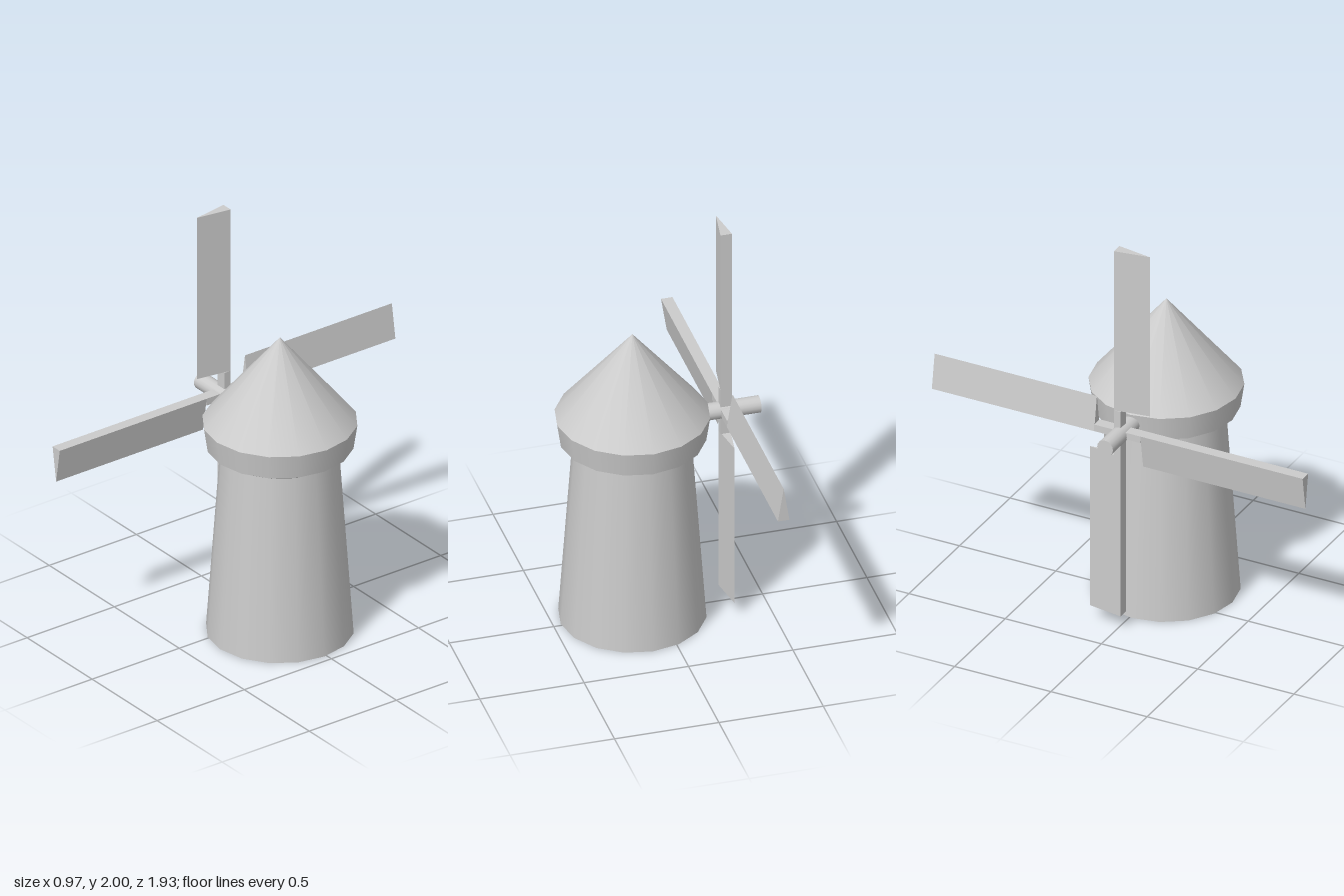
import * as THREE from 'three';

export function createModel() {
  const model = new THREE.Group();
  const material = new THREE.MeshStandardMaterial({ color: 0xcccccc });
  const SIDES = 16;
  const towerX = 0.12, towerZ = 0.012;

  const add = (parent, name, geometry, x = 0, y = 0, z = 0) => {
    const mesh = new THREE.Mesh(geometry, material);
    mesh.name = name;
    mesh.position.set(x, y, z);
    parent.add(mesh);
    return mesh;
  };

  // Round sections stacked on the tower axis, smooth around with sharp rims
  const section = (name, rBottom, rTop, y0, y1, open) =>
    add(model, name, new THREE.CylinderGeometry(rTop, rBottom, y1 - y0, SIDES, 1, open),
      towerX, (y0 + y1) / 2, towerZ);

  section('tower', 0.343, 0.277, 0, 0.93, false);
  section('capUnderside', 0.28, 0.342, 0.93, 0.965, true);
  section('capBand', 0.342, 0.36, 0.965, 1.085, true);
  section('roof', 0.36, 0, 1.085, 1.52, true);

  // Shaft reaching out of the cap
  const shaftLength = 0.6;
  const shaft = new THREE.CylinderGeometry(0.041, 0.041, shaftLength, SIDES);
  shaft.rotateZ(Math.PI / 2);
  add(model, 'shaft', shaft, -0.487 + shaftLength / 2, 1.032, towerZ);

  // Sails: wedge-shaped blades on short arms, turned in quarters about the shaft
  const width = 0.055, half = 0.0175, chord = 0.155, inner = 0.12, reach = 0.963;
  const profile = new THREE.Shape([
    new THREE.Vector2(-width / 2, half),
    new THREE.Vector2(0, -chord),
    new THREE.Vector2(width / 2, half),
  ]);
  const bladeGeometry = new THREE.ExtrudeGeometry(profile, { depth: reach - inner, bevelEnabled: false });
  bladeGeometry.rotateX(-Math.PI / 2);
  const armGeometry = new THREE.BoxGeometry(width, inner, half * 2);

  const sails = new THREE.Group();
  sails.name = 'sails';
  sails.position.set(-0.322, 1.037, 0.003);
  for (let i = 0; i < 4; i++) {
    const sail = new THREE.Group();
    sail.name = 'sail';
    sail.rotation.x = i * Math.PI / 2;
    add(sail, 'arm', armGeometry, 0, inner / 2, 0);
    add(sail, 'blade', bladeGeometry, 0, inner, 0);
    sails.add(sail);
  }
  model.add(sails);
  return model;
}
